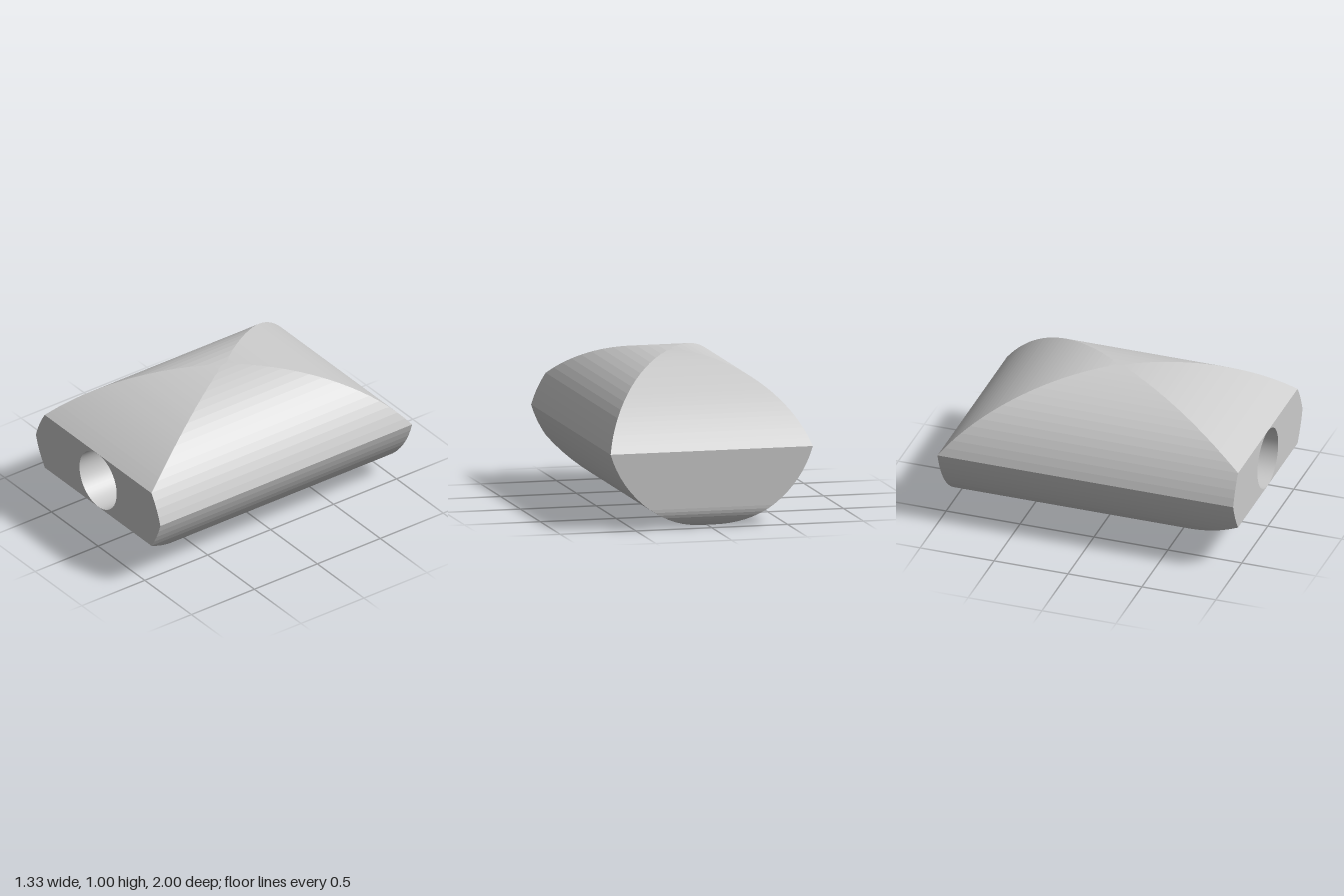
import * as THREE from 'three';

const HALF = 0.667, MID = 0.5, FILLET = 0.13;

// Arc height lost at distance d from the apex, for an arc with this half chord and sagitta
const drop = (d, chord, sag) => {
  const r = (chord * chord + sag * sag) / (2 * sag);
  return r - Math.sqrt(r * r - d * d);
};

// Side profile: top and bottom height at each z
const topAt = z => 1 - drop(z, 1, z > 0 ? 0.3 : 0.5);
const bottomAt = z => {
  if (z > 0) return drop(z, 1, 0.3);
  const t = Math.max(0, -z - (1 - FILLET));
  return FILLET - Math.sqrt(Math.max(0, FILLET * FILLET - t * t));
};

// Front profile: lens corners [x, y] from the bottom edge up to the top edge
const lens = [];
const R = (HALF * HALF + MID * MID) / (2 * MID);
const A = Math.asin(HALF / R), N = 16;
for (let i = 0; i <= N; i++) {
  const a = A * i / N;
  lens.push([R * Math.sin(a), R - R * Math.cos(a)]);
}
for (let i = N - 1; i >= 0; i--) lens.push([lens[i][0], 1 - lens[i][1]]);

function widthAt(y) {
  for (let i = 1; i < lens.length; i++) {
    const [x0, y0] = lens[i - 1], [x1, y1] = lens[i];
    if (y <= y1) return x0 + (x1 - x0) * Math.max(0, (y - y0) / (y1 - y0));
  }
  return 0;
}

// Stations along z, closer together around the rear fillet
const stations = [];
for (let i = 0; i <= 10; i++) stations.push(-(1 - FILLET) - FILLET * Math.cos(i / 10 * Math.PI / 2));
for (let i = 1; i <= 28; i++) stations.push(-(1 - FILLET) * (1 - i / 28));
for (let i = 1; i <= 32; i++) stations.push(i / 32);

function quad(out, a, b, c, d) {
  for (const [p, q, r] of [[a, b, c], [a, c, d]]) {
    const area = new THREE.Triangle(p, q, r).getArea();
    if (area > 1e-9) for (const v of [p, q, r]) out.push(v.x, v.y, v.z);
  }
}

function facets(points) {
  const g = new THREE.BufferGeometry();
  g.setAttribute('position', new THREE.Float32BufferAttribute(points, 3));
  g.computeVertexNormals();
  return g;
}

// End face: the lens clipped to the side profile at this z
function endShape(z) {
  const lo = bottomAt(z), hi = topAt(z);
  const ys = [lo, ...lens.map(p => p[1]).filter(y => y > lo + 1e-4 && y < hi - 1e-4), hi];
  const right = ys.map(y => new THREE.Vector2(widthAt(y), y));
  const left = ys.map(y => new THREE.Vector2(-widthAt(y), y)).reverse();
  return new THREE.Shape([...right, ...left]);
}

export function createModel() {
  const group = new THREE.Group();
  const flat = new THREE.MeshStandardMaterial({ color: 0xcccccc, flatShading: true });
  const inner = new THREE.MeshStandardMaterial({ color: 0xcccccc, side: THREE.BackSide });
  const add = (name, geometry, material = flat) => {
    const mesh = new THREE.Mesh(geometry, material);
    mesh.name = name;
    group.add(mesh);
    return mesh;
  };
  const V = (x, y, z) => new THREE.Vector3(x, y, z);

  // Curved shell: lens-shaped sides, arched roof and underside
  const leftSide = [], rightSide = [], roof = [], underside = [];
  for (let s = 1; s < stations.length; s++) {
    const z0 = stations[s - 1], z1 = stations[s];
    const t0 = topAt(z0), t1 = topAt(z1), b0 = bottomAt(z0), b1 = bottomAt(z1);
    for (let i = 1; i < lens.length; i++) {
      const corner = (y, z, b, t, m) => {
        const h = Math.min(Math.max(y, b), t);
        return V(m * widthAt(h), h, z);
      };
      const lo = lens[i - 1][1], hi = lens[i][1];
      const ring = m => [corner(lo, z1, b1, t1, m), corner(lo, z0, b0, t0, m),
        corner(hi, z0, b0, t0, m), corner(hi, z1, b1, t1, m)];
      quad(leftSide, ...ring(1));
      quad(rightSide, ...ring(-1).reverse());
    }
    const band = (y0, y1) => {
      const w0 = widthAt(y0), w1 = widthAt(y1);
      return [V(-w1, y1, z1), V(w1, y1, z1), V(w0, y0, z0), V(-w0, y0, z0)];
    };
    quad(roof, ...band(t0, t1));
    quad(underside, ...band(b0, b1).reverse());
  }
  add('leftSide', facets(leftSide));
  add('rightSide', facets(rightSide));
  add('roof', facets(roof));
  add('underside', facets(underside));

  // Front face with the round bore opening
  const bore = 0.2, depth = 1;
  const front = endShape(1);
  front.holes.push(new THREE.Path().absarc(0, MID, bore - 0.0005, 0, Math.PI * 2, true));
  add('frontFace', new THREE.ShapeGeometry(front, 24)).position.z = 1;

  // Rear face, turned to look backwards
  const rear = add('rearFace', new THREE.ShapeGeometry(endShape(-1)));
  rear.rotation.y = Math.PI;
  rear.position.z = -1;

  // Blind bore
  const wall = add('boreWall',
    new THREE.CylinderGeometry(bore, bore, depth, 48, 1, true).rotateX(Math.PI / 2), inner);
  wall.position.set(0, MID, 1 - depth / 2);
  add('boreEnd', new THREE.CircleGeometry(bore, 48)).position.set(0, MID, 1 - depth);

  return group;
}
